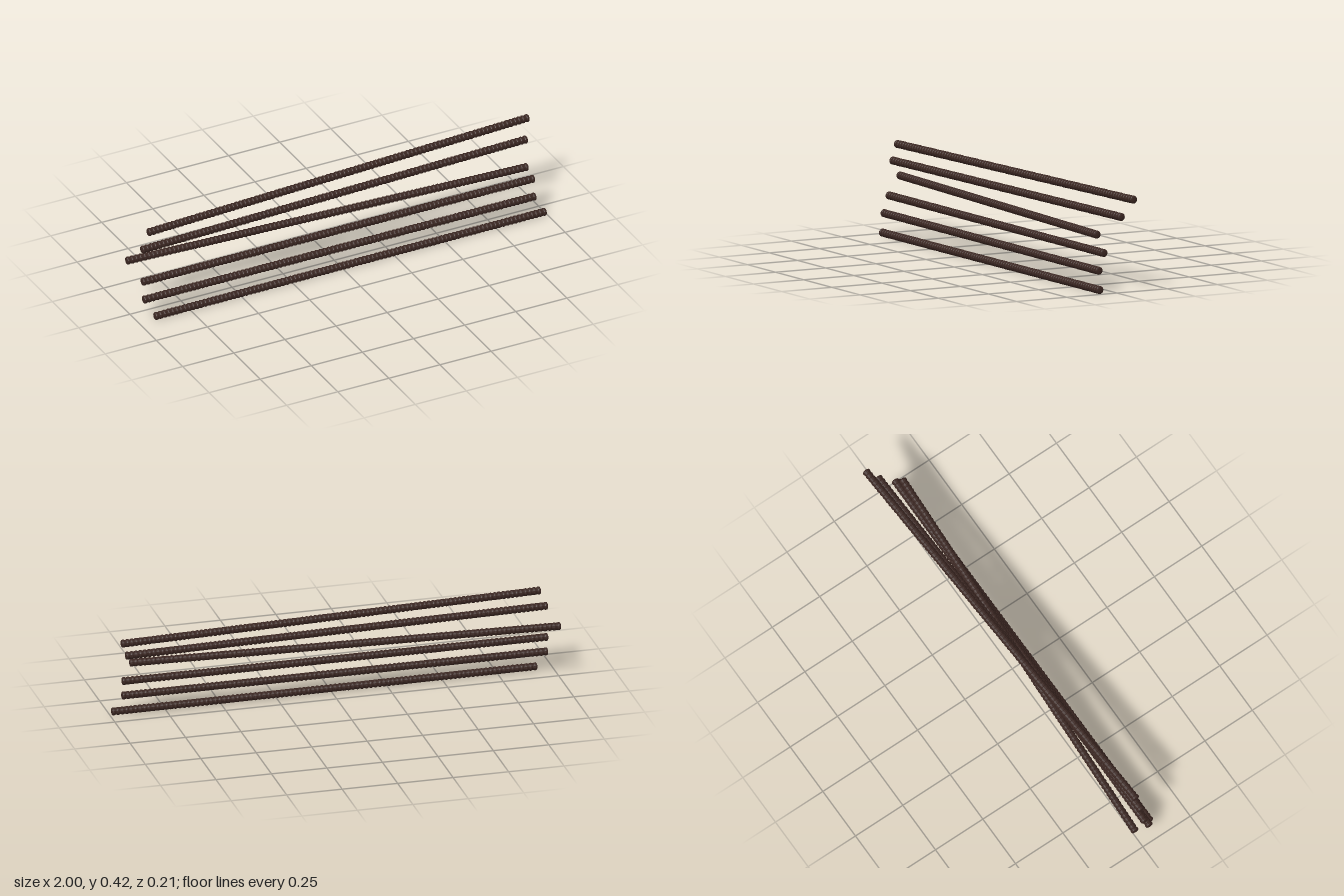
import * as THREE from 'three';

const RADIUS = 0.0177;
const RIBS = 96;

// Ribbed rod profile with slightly domed ends, running along y
function rodGeometry(length) {
  const h = length / 2;
  const pitch = length / RIBS;
  const pts = [new THREE.Vector2(0, -h), new THREE.Vector2(RADIUS * 0.6, -h + pitch * 0.08)];
  for (let i = 0; i < RIBS; i++) {
    const y = -h + i * pitch;
    pts.push(new THREE.Vector2(RADIUS * 0.88, y + pitch * 0.18));
    pts.push(new THREE.Vector2(RADIUS, y + pitch * 0.36));
    pts.push(new THREE.Vector2(RADIUS, y + pitch * 0.64));
    pts.push(new THREE.Vector2(RADIUS * 0.88, y + pitch * 0.82));
  }
  pts.push(new THREE.Vector2(RADIUS * 0.6, h - pitch * 0.08), new THREE.Vector2(0, h));
  return new THREE.LatheGeometry(pts, 14);
}

export function createModel() {
  const model = new THREE.Group();
  model.name = 'ribbedRods';
  const darkBrown = new THREE.MeshStandardMaterial({ color: 0x3a2621 });
  darkBrown.name = 'darkBrown';
  darkBrown.flatShading = true;

  // Each rod: height, right end x and z, left end x and z
  const rods = [
    [0.018, -0.928, 0.0905, 0.995, 0.0785],
    [0.096, -0.968, 0.06, 0.954, 0.06],
    [0.173, -0.963, 0.038, 0.959, 0.038],
    [0.25, -1.0, -0.038, 0.921, 0.052],
    [0.326, -0.957, 0.023, 0.966, -0.045],
    [0.403, -0.924, 0.019, 0.997, -0.089],
  ];
  const up = new THREE.Vector3(0, 1, 0);
  rods.forEach(([y, x0, z0, x1, z1], i) => {
    const a = new THREE.Vector3(x0, y, z0);
    const b = new THREE.Vector3(x1, y, z1);
    const rod = new THREE.Mesh(rodGeometry(a.distanceTo(b)), darkBrown);
    rod.name = `rod${i + 1}`;
    rod.position.copy(a).add(b).multiplyScalar(0.5);
    rod.quaternion.setFromUnitVectors(up, b.sub(a).normalize());
    model.add(rod);
  });
  return model;
}
